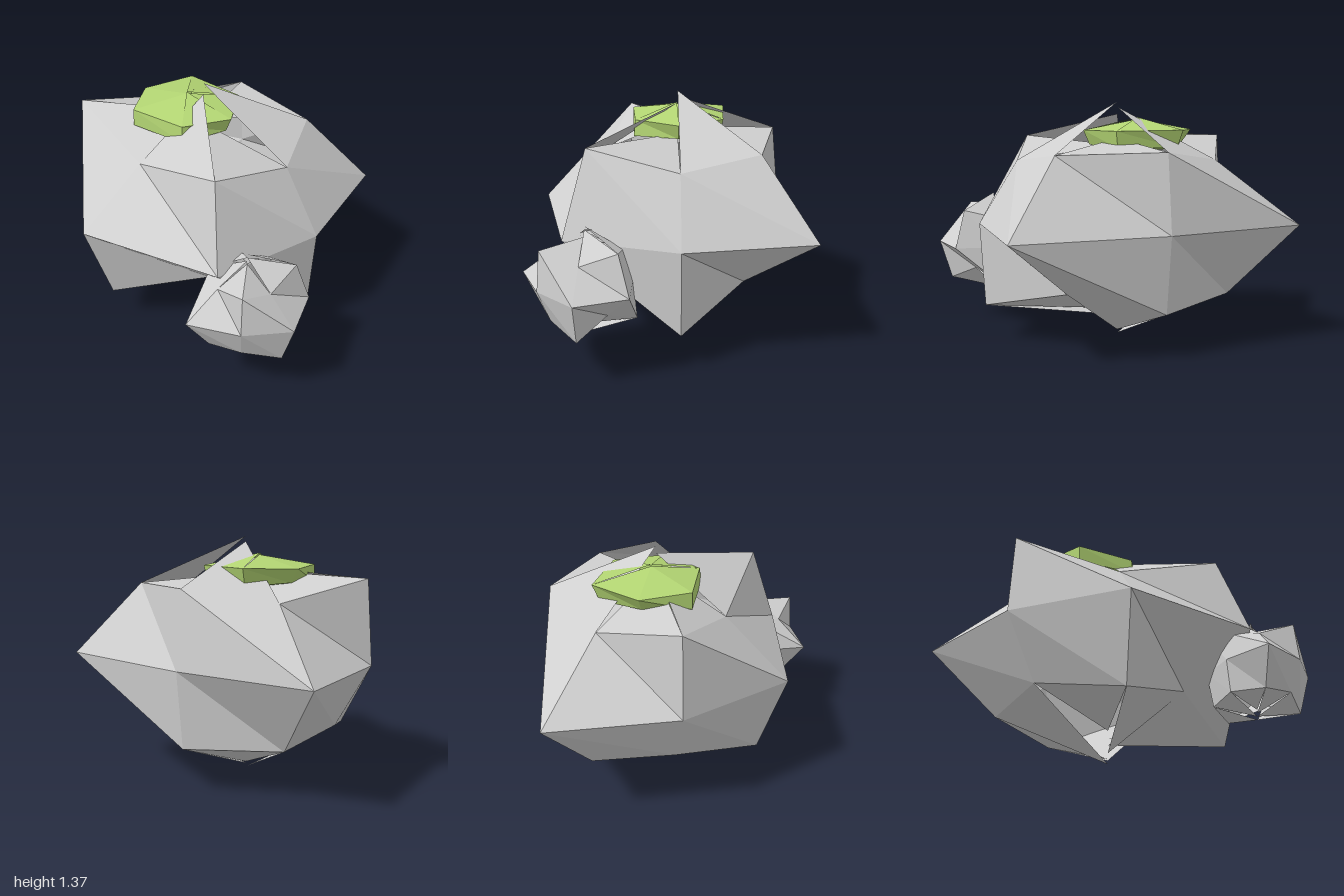
import * as THREE from 'three';

const stone = new THREE.MeshStandardMaterial({ color: 0xcfcfcf, flatShading: true, side: THREE.DoubleSide });
stone.name = 'stone grey';
const moss = new THREE.MeshStandardMaterial({ color: 0xb3d573, flatShading: true, side: THREE.DoubleSide });
moss.name = 'moss green';

// Faceted lump: rings of radii around a centre, with a separate pole height for every
// segment so the caps are jagged. Rings hold one extra radius for the split seam.
function lump(name, material, { centre, stretch, turn = 0, rings, tops, bottoms }) {
  const n = tops.length;
  const point = (r, i) => {
    const a = turn + (i / n) * Math.PI * 2;
    const theta = ((r + 1) / (rings.length + 1)) * Math.PI;
    const radius = rings[r][i];
    return [
      centre[0] + stretch[0] * radius * Math.cos(a),
      centre[1] + (stretch[1] * radius) / Math.tan(theta),
      centre[2] + radius * Math.sin(a),
    ];
  };
  const pole = (y) => [centre[0], y, centre[2]];
  const pos = [];
  const tri = (...corners) => corners.forEach((c) => pos.push(...c));
  const last = rings.length - 1;
  for (let i = 0; i < n; i++) {
    tri(pole(tops[i]), point(0, i + 1), point(0, i));
    for (let r = 0; r < last; r++) {
      tri(point(r, i), point(r, i + 1), point(r + 1, i));
      tri(point(r, i + 1), point(r + 1, i + 1), point(r + 1, i));
    }
    tri(pole(bottoms[i]), point(last, i), point(last, i + 1));
  }
  const g = new THREE.BufferGeometry();
  g.setAttribute('position', new THREE.Float32BufferAttribute(pos, 3));
  g.computeVertexNormals();
  const mesh = new THREE.Mesh(g, material);
  mesh.name = name;
  return mesh;
}

export function createModel() {
  const group = new THREE.Group();
  group.name = 'mossyRocks';

  // Large boulder
  group.add(lump('boulder', stone, {
    centre: [-0.03, 0.685, -0.06],
    stretch: [1.19, 0.735],
    rings: [
      [0.487, 0.64, 0.43, 0.644, 0.49, 0.59, 0.565, 0.487],
      [0.672, 0.806, 0.81, 0.67, 0.905, 0.636, 0.933, 0.672],
      [0.65, 0.43, 0.65, 0.49, 0.56, 0.59, 0.473, 0.65],
    ],
    tops: [1.12, 1.3, 1.2, 1.18, 1.34, 1.16, 1.37],
    bottoms: [0.11, 0.065, 0.2, 0, 0.03, 0.02, 0.15],
  }));

  // Small rock leaning on the boulder
  group.add(lump('smallRock', stone, {
    centre: [0.66, 0.495, 0.44],
    stretch: [1, 0.85],
    turn: 0.13,
    rings: [
      [0.17, 0.26, 0.18, 0.2, 0.25, 0.2, 0.26, 0.17],
      [0.34, 0.28, 0.37, 0.24, 0.27, 0.25, 0.34, 0.34],
      [0.27, 0.21, 0.23, 0.22, 0.24, 0.27, 0.17, 0.27],
    ],
    tops: [0.74, 0.74, 0.76, 0.78, 0.74, 0.8, 0.78],
    bottoms: [0.22, 0.24, 0.26, 0.22, 0.2, 0.25, 0.2],
  }));

  // Moss patch on the crown
  group.add(lump('mossPatch', moss, {
    centre: [-0.15, 1.165, -0.06],
    stretch: [1.18, 0.28],
    rings: [
      [0.27, 0.28, 0.3, 0.27, 0.33, 0.3, 0.27],
      [0.24, 0.29, 0.3, 0.22, 0.29, 0.28, 0.24],
    ],
    tops: [1.28, 1.27, 1.27, 1.27, 1.28, 1.27],
    bottoms: [1.08, 1.08, 1.08, 1.08, 1.08, 1.08],
  }));

  return group;
}
